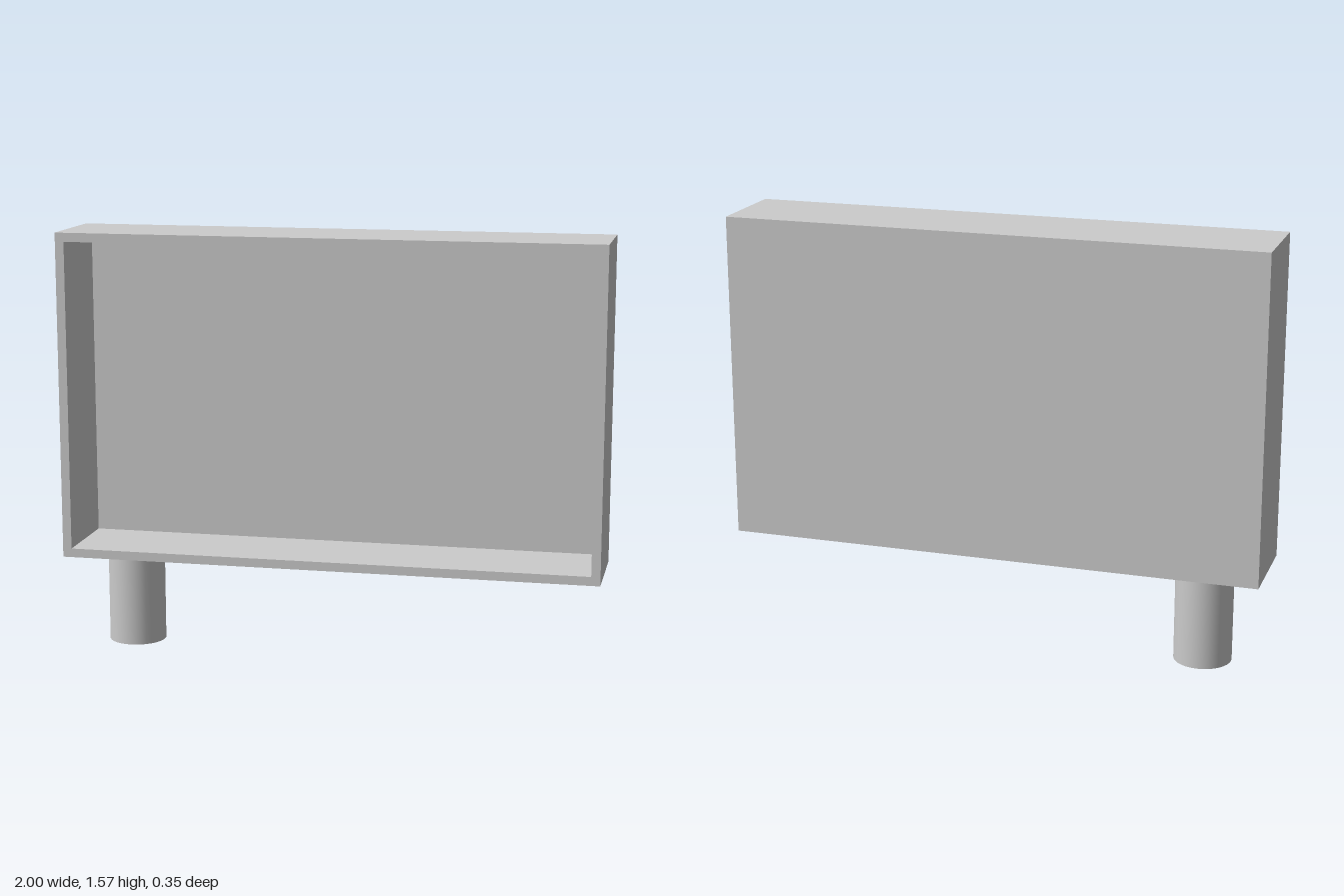
import * as THREE from 'three';

const W = 2, BOTTOM = 0.355, TOP = 1.567, DEPTH = 0.354;
const RIM = 0.033, BACK = 0.035;

// Rectangle centred on x = 0, inset from the cabinet outline
function rectangle(PathType, inset) {
  const x = W / 2 - inset, y0 = BOTTOM + inset, y1 = TOP - inset;
  return new PathType([
    new THREE.Vector2(-x, y0), new THREE.Vector2(x, y0),
    new THREE.Vector2(x, y1), new THREE.Vector2(-x, y1),
  ]);
}

function slab(name, shape, depth, z, material) {
  const geometry = new THREE.ExtrudeGeometry(shape, { depth, bevelEnabled: false });
  const mesh = new THREE.Mesh(geometry, material);
  mesh.name = name;
  mesh.position.z = z;
  return mesh;
}

export function createModel() {
  const model = new THREE.Group();
  model.name = 'signBoard';
  const material = new THREE.MeshStandardMaterial({ color: 0xcccccc });

  // Open-fronted cabinet: deep rim around a thin back panel
  const rim = rectangle(THREE.Shape, 0);
  rim.holes.push(rectangle(THREE.Path, RIM));
  model.add(slab('cabinetRim', rim, DEPTH, -DEPTH / 2, material));
  model.add(slab('backPanel', rectangle(THREE.Shape, 0), BACK, -DEPTH / 2, material));

  // Short round post, off to one side and slightly behind centre
  const post = new THREE.Mesh(new THREE.CylinderGeometry(0.107, 0.107, BOTTOM, 32), material);
  post.name = 'post';
  post.position.set(-0.775, BOTTOM / 2, -0.02);
  model.add(post);

  return model;
}
